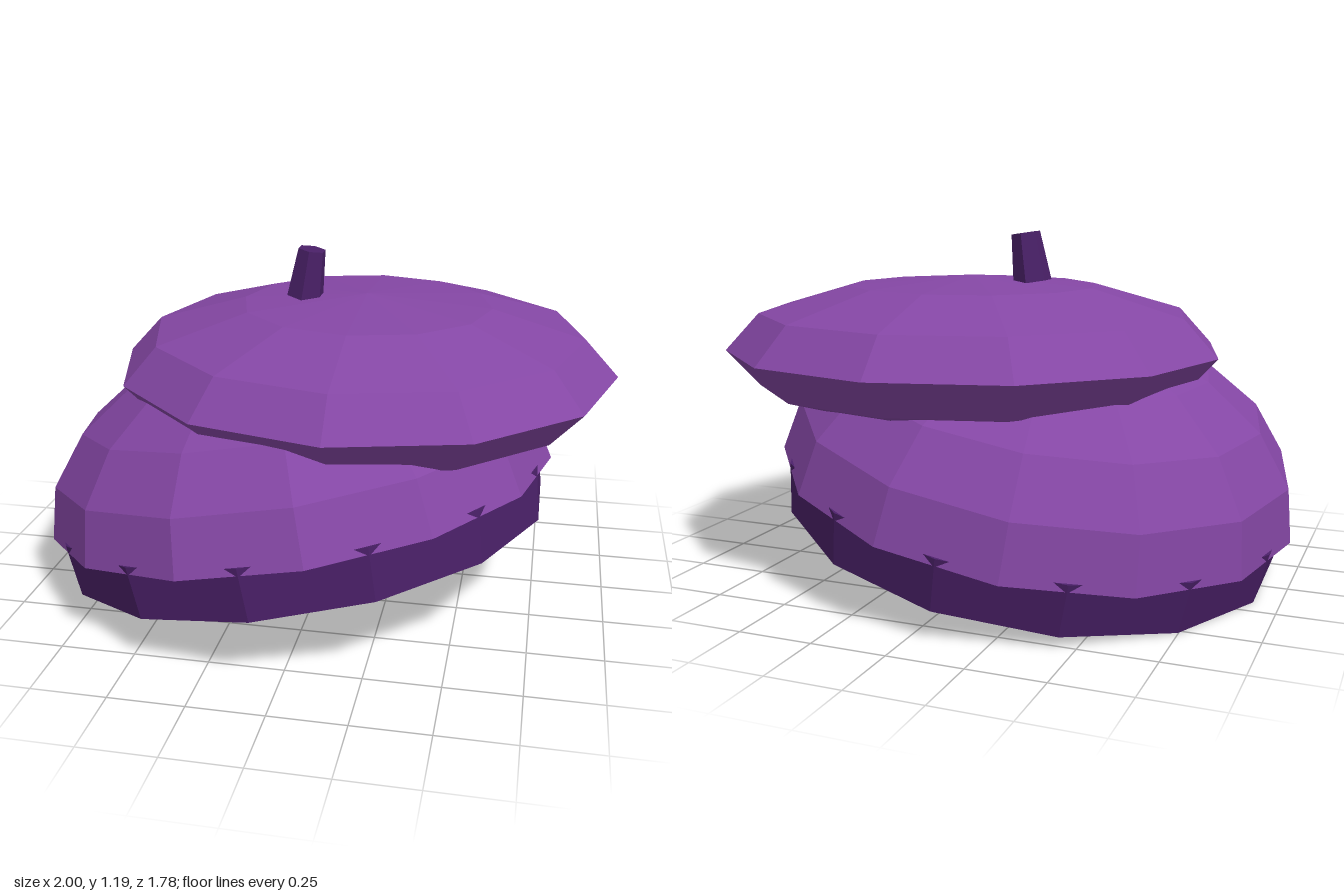
import * as THREE from 'three';

export function createModel() {
  const model = new THREE.Group();
  model.name = 'beret';

  const cloth = new THREE.MeshStandardMaterial({ color: 0x8547a5, flatShading: true, side: THREE.DoubleSide });
  cloth.name = 'purple cloth';
  const trim = new THREE.MeshStandardMaterial({ color: 0x4a2068, flatShading: true });
  trim.name = 'dark purple trim';

  const add = (parent, name, geometry, material, x, y, z) => {
    const mesh = new THREE.Mesh(geometry, material);
    mesh.name = name;
    mesh.position.set(x, y, z);
    parent.add(mesh);
    return mesh;
  };

  // Tilted lower half: head band and the dome that overhangs it
  const base = new THREE.Group();
  base.name = 'tiltedBase';
  base.position.set(-0.105, 0.325, 0);
  base.rotation.set(-0.083, 0, 0.18);
  model.add(base);

  const bandBottom = -0.157, bandTop = 0.025;
  add(base, 'headBand',
    new THREE.CylinderGeometry(0.891, 0.873, bandTop - bandBottom, 14),
    trim, 0, (bandTop + bandBottom) / 2, 0);

  const dome = new THREE.SphereGeometry(0.91, 14, 5, 0, Math.PI * 2, 0, Math.PI / 2);
  dome.scale(1, 0.65, 1);
  add(base, 'lowerDome', dome, cloth, 0, 0, 0);

  // Flattened puff lying level on top, pushed to one side
  const puff = new THREE.SphereGeometry(1, 12, 6);
  puff.scale(0.875, 0.253, 0.83);
  add(model, 'upperPuff', puff, cloth, 0.122, 0.782, -0.06);

  // Small leaning stem
  const stem = add(model, 'stem', new THREE.CylinderGeometry(0.05, 0.067, 0.17, 6),
    trim, -0.085, 1.1, -0.055);
  stem.rotation.z = -0.15;

  return model;
}
